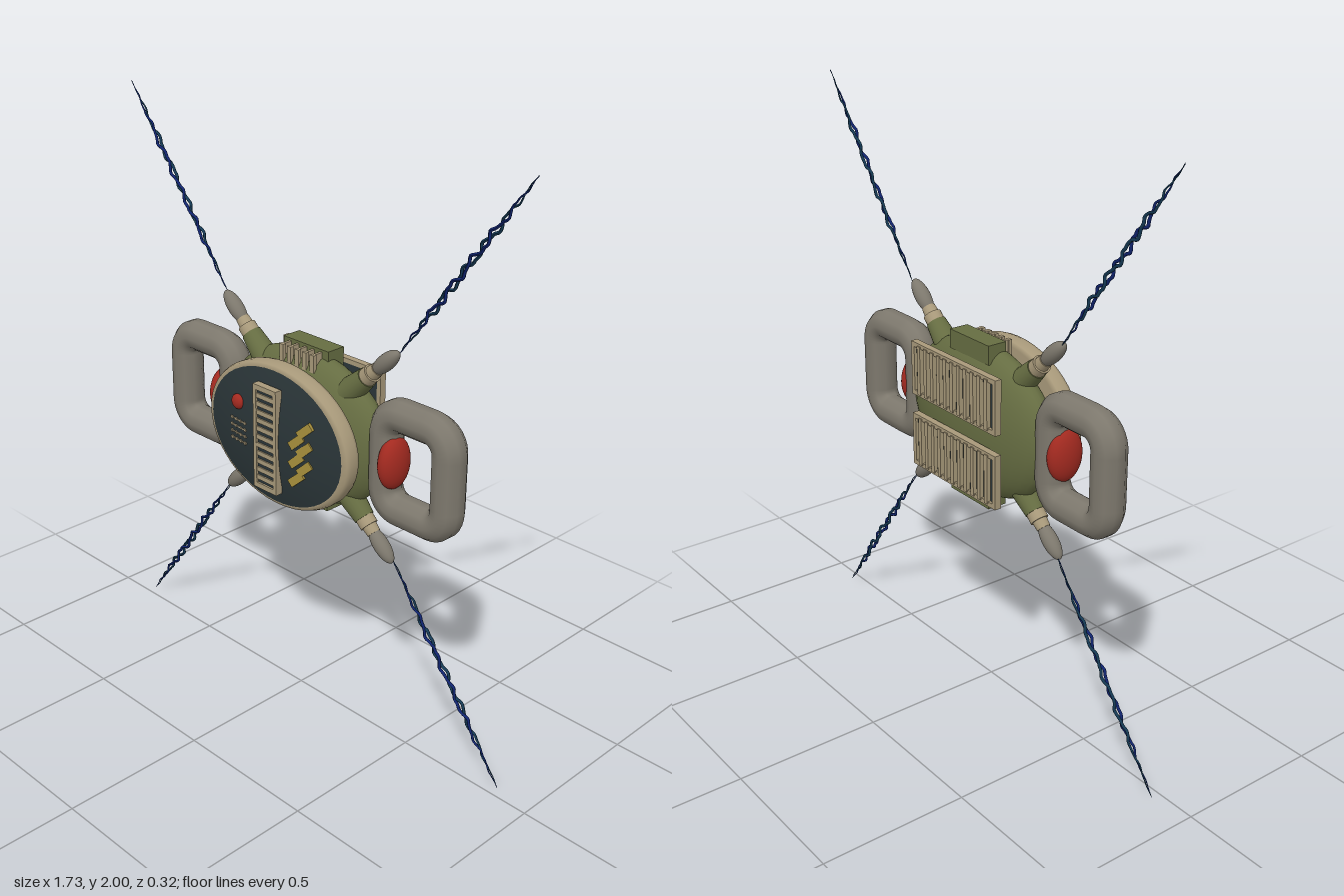
import * as THREE from 'three';

const mat = (name, color, side = THREE.FrontSide) => {
  const m = new THREE.MeshStandardMaterial({ color, side });
  m.name = name;
  return m;
};

export function createModel() {
  const olive = mat('olive', 0x666d42);
  const tan = mat('tan', 0xa8997a);
  const grey = mat('warm grey', 0x7d786d);
  const slate = mat('dark slate', 0x2a3538);
  const red = mat('red', 0xa32a20);
  const gold = mat('gold', 0xa8903c);
  const navy = mat('navy', 0x10246f);
  const teal = mat('deep teal', 0x153a55);

  const model = new THREE.Group();
  model.name = 'device';
  const MID = -0.03; // depth of the handles and arms

  const add = (parent, name, geo, material, x = 0, y = 0, z = 0) => {
    const m = new THREE.Mesh(geo, material);
    m.name = name;
    m.position.set(x, y, z);
    parent.add(m);
    return m;
  };
  const box = (parent, name, material, w, h, d, x, y, z) =>
    add(parent, name, new THREE.BoxGeometry(w, h, d), material, x, y, z);
  const ellipsoid = (rx, ry, rz) => new THREE.SphereGeometry(1, 32, 20).scale(rx, ry, rz);
  // lathe turned to face +z and squashed to an ellipse
  const oval = (pts, squash) => new THREE.LatheGeometry(
    pts.map(([r, h]) => new THREE.Vector2(r, h)), 48).scale(1, 1, squash).rotateX(Math.PI / 2);

  // Main shell
  add(model, 'body', ellipsoid(0.36, 0.265, 0.1), olive, 0, 1, -0.035);

  // Front bezel and domed face
  add(model, 'bezel', oval([[0, 0], [0.305, 0], [0.322, 0.008], [0.326, 0.02], [0.326, 0.045],
    [0.32, 0.058], [0.303, 0.064], [0, 0.064]], 0.76), tan, 0, 1, 0.055);
  const dome = [];
  for (let i = 0; i <= 10; i++) {
    const r = 1 - i / 10;
    dome.push([r * 0.302, 0.033 * (1 - r * r)]);
  }
  add(model, 'face', oval(dome, 0.765), slate, 0, 1, 0.12);

  // Central front grille
  const grille = new THREE.Group();
  grille.name = 'frontGrille';
  grille.position.set(-0.002, 1.002, 0.153);
  model.add(grille);
  box(grille, 'grilleBack', slate, 0.09, 0.35, 0.014, 0, 0, -0.004);
  for (const s of [-1, 1]) {
    box(grille, 'grilleRail', tan, 0.014, 0.365, 0.026, s * 0.046, 0, -0.003);
    box(grille, 'grilleEnd', tan, 0.092, 0.018, 0.026, 0, s * 0.1735, -0.003);
  }
  for (let i = 0; i < 11; i++)
    box(grille, 'grilleBar', tan, 0.09, 0.016, 0.016, 0, (i - 5) * 0.029, 0);

  // Front button, indicator ticks and gold stripes
  add(model, 'frontButton', ellipsoid(0.026, 0.026, 0.016), red, -0.15, 1.085, 0.142);
  const panel = new THREE.Group();
  panel.name = 'indicators';
  panel.position.set(-0.145, 0.985, 0.1445);
  panel.rotation.y = -0.1;
  model.add(panel);
  for (let r = 0; r < 4; r++) {
    box(panel, 'indicatorLine', tan, 0.085, 0.004, 0.006, 0, (r - 1.5) * 0.024, 0);
    for (let c = 0; c < 4; c++)
      box(panel, 'indicatorTick', tan, 0.008, 0.01, 0.008, (c - 1.5) * 0.023, (r - 1.5) * 0.024, 0);
  }
  for (let i = 0; i < 3; i++) {
    const stripe = new THREE.Group();
    stripe.name = 'goldStripe';
    stripe.position.set(0.145, 0.925 + i * 0.066, 0.141);
    stripe.rotation.set(0, 0.1, 0.72);
    model.add(stripe);
    for (const s of [-1, 1])
      box(stripe, 'stripeHalf', gold, 0.068, 0.028, 0.014, s * 0.028, s * 0.006, 0);
  }

  // Side handles: round tube along a rounded rectangle
  const hw = 0.128, hh = 0.162, c = 0.07;
  const outline = new THREE.Shape();
  outline.moveTo(-hw + c, -hh).lineTo(hw - c, -hh);
  outline.absarc(hw - c, -hh + c, c, -Math.PI / 2, 0);
  outline.absarc(hw - c, hh - c, c, 0, Math.PI / 2);
  outline.absarc(-hw + c, hh - c, c, Math.PI / 2, Math.PI);
  outline.absarc(-hw + c, -hh + c, c, Math.PI, Math.PI * 1.5);
  outline.closePath();
  const loop = outline.getSpacedPoints(48).slice(0, 48).map(p => new THREE.Vector3(p.x, p.y, 0));
  const handleGeo = new THREE.TubeGeometry(new THREE.CatmullRomCurve3(loop, true), 72, 0.056, 10, true);
  for (const s of [-1, 1]) {
    const side = s > 0 ? 'left' : 'right';
    add(model, side + 'Handle', handleGeo, grey, s * 0.481, 1, MID);
    add(model, side + 'Button', ellipsoid(0.04, 0.09, 0.064), red, s * 0.395, 1, -0.019);
  }

  // Top and bottom vents
  for (const s of [-1, 1]) {
    const vent = s > 0 ? 'topVent' : 'bottomVent';
    box(model, vent, olive, 0.205, 0.065, 0.07, 0, 1 + s * 0.252, -0.055);
    for (let i = -2; i <= 2; i++) {
      box(model, vent + 'Pin', tan, 0.01, 0.06, 0.036, i * 0.035, 1 + s * 0.246, -0.002);
      box(model, vent + 'Tip', tan, 0.018, 0.06, 0.012, i * 0.035, 1 + s * 0.246, 0.016);
    }
  }

  // Two slatted panels on the back
  for (const y of [1.13, 0.875]) {
    const vent = new THREE.Group();
    vent.name = 'rearVent';
    vent.position.set(0, y, -0.146);
    model.add(vent);
    box(vent, 'rearVentBack', slate, 0.44, 0.175, 0.012, 0, 0, 0.004);
    for (const s of [-1, 1]) {
      box(vent, 'rearVentRail', tan, 0.45, 0.016, 0.024, 0, s * 0.085, 0);
      box(vent, 'rearVentEnd', tan, 0.016, 0.17, 0.024, s * 0.217, 0, 0);
    }
    for (let i = 0; i < 11; i++)
      box(vent, 'rearVentSlat', tan, 0.016, 0.17, 0.02, (i - 5) * 0.036, 0, -0.006);
  }

  // Tendril strands: zigzag tubes that taper to both ends
  const LEN = 0.798;
  const strand = (phase, z) => {
    const pts = [];
    for (let i = 0; i <= 44; i++) {
      const a = i * 0.95 + phase;
      pts.push(new THREE.Vector3(0.009 * Math.sin(a) + 0.004 * Math.sin(a * 2.3), i / 44 * LEN, z));
    }
    const geo = new THREE.TubeGeometry(new THREE.CatmullRomCurve3(pts), 132, 0.0055, 5);
    const p = geo.attributes.position;
    for (let i = 0; i < p.count; i++) {
      const t = THREE.MathUtils.clamp(p.getY(i) / LEN, 0, 1);
      const k = 0.15 + 0.85 * Math.min(1, 3.5 * Math.min(t, 1 - t));
      p.setX(i, p.getX(i) * k);
      p.setZ(i, p.getZ(i) * k);
    }
    geo.computeVertexNormals();
    return geo;
  };
  const strandA = strand(0, 0.002), strandB = strand(2.6, -0.003);

  // Four corner arms, each with a socket, collar, pod and tendril
  for (const sx of [-1, 1]) for (const sy of [-1, 1]) {
    const turn = deg => {
      const a = deg * Math.PI / 180;
      return Math.atan2(-sx * Math.cos(a), sy * Math.sin(a));
    };
    const arm = new THREE.Group();
    arm.name = 'cornerArm';
    arm.position.set(sx * 0.19, 1 + sy * 0.175, -0.027);
    arm.rotation.z = turn(43);
    model.add(arm);
    add(arm, 'socket', new THREE.CylinderGeometry(0.034, 0.046, 0.11, 20), olive, 0, 0.05, 0);
    add(arm, 'collar', new THREE.CylinderGeometry(0.031, 0.031, 0.032, 20), tan, 0, 0.12, 0);
    add(arm, 'neck', new THREE.CylinderGeometry(0.023, 0.026, 0.04, 20), tan, 0, 0.145, 0);
    add(arm, 'pod', ellipsoid(0.027, 0.068, 0.027), grey, 0, 0.21, 0);

    const tendril = new THREE.Group();
    tendril.name = 'tendril';
    tendril.position.set(sx * 0.388, 1 + sy * 0.355, -0.034);
    tendril.rotation.z = turn(53.5);
    model.add(tendril);
    add(tendril, 'frontStrand', strandA, navy);
    add(tendril, 'backStrand', strandB, teal);
  }
  return model;
}
